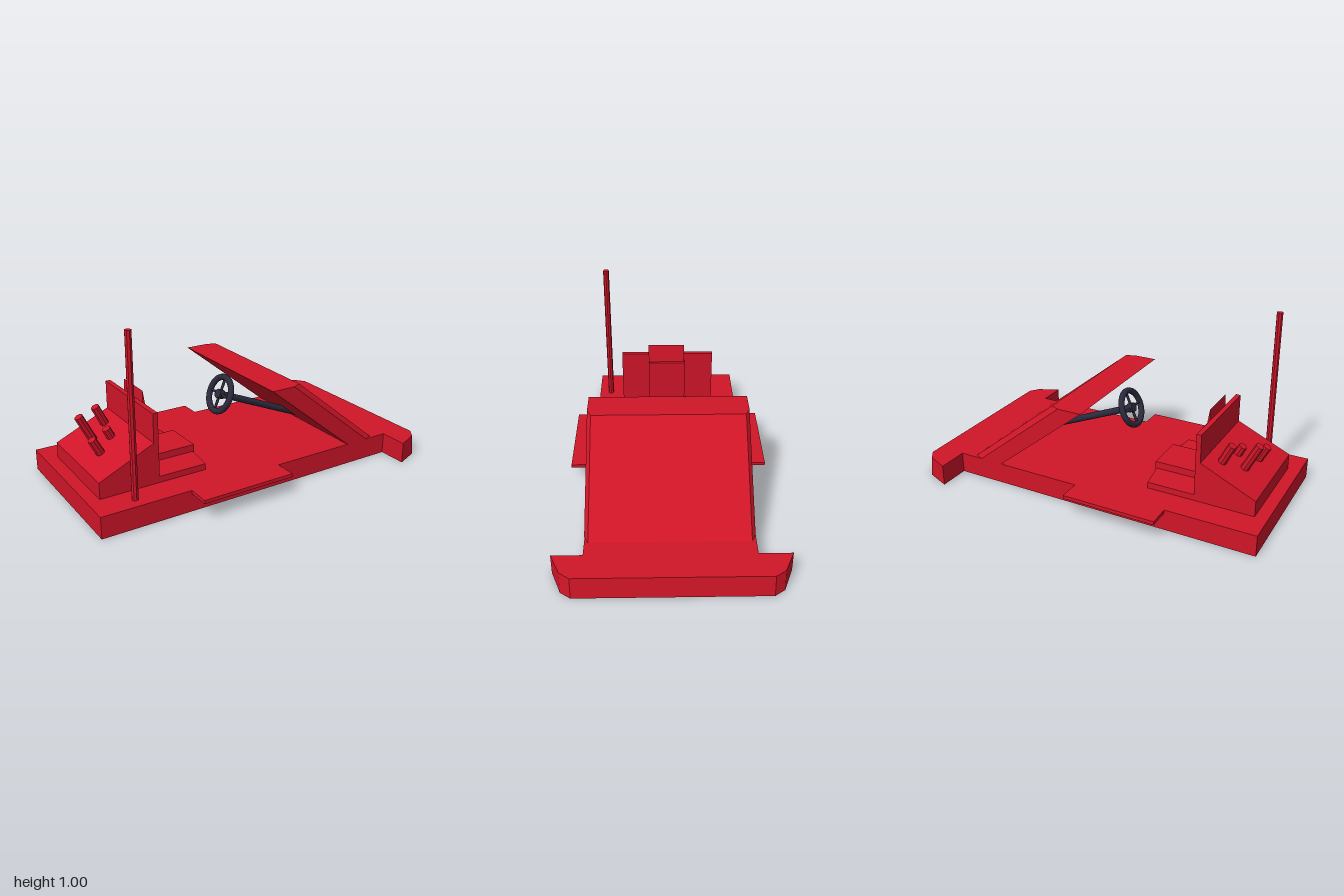
import * as THREE from 'three';

const red = new THREE.MeshStandardMaterial({ color: 0xd01528, flatShading: true });
const dark = new THREE.MeshStandardMaterial({ color: 0x2a2a3c });

const extrude = (points, depth) => new THREE.ExtrudeGeometry(
  new THREE.Shape(points.map(([a, b]) => new THREE.Vector2(a, b))),
  { depth, bevelEnabled: false });

// Prism from an [x, z] outline, standing between y0 and y1
const planPrism = (points, y0, y1) =>
  extrude(points.map(([x, z]) => [x, -z]), y1 - y0).rotateX(-Math.PI / 2).translate(0, y0, 0);

// Prism from an [x, y] outline, spanning z0 to z1
const sidePrism = (points, z0, z1) => extrude(points, z1 - z0).translate(0, 0, z0);

const box = (x0, x1, y0, y1, z0, z1) =>
  new THREE.BoxGeometry(x1 - x0, y1 - y0, z1 - z0)
    .translate((x0 + x1) / 2, (y0 + y1) / 2, (z0 + z1) / 2);

// Cylinder running from point a to point b
function rod(a, b, radius, sides) {
  const from = new THREE.Vector3(...a), to = new THREE.Vector3(...b);
  const dir = to.clone().sub(from);
  const g = new THREE.CylinderGeometry(radius, radius, dir.length(), sides);
  g.applyQuaternion(new THREE.Quaternion().setFromUnitVectors(
    new THREE.Vector3(0, 1, 0), dir.normalize()));
  const mid = from.add(to).multiplyScalar(0.5);
  return g.translate(mid.x, mid.y, mid.z);
}

// Move each vertex in x by a rule
function shiftX(geometry, rule) {
  const p = geometry.attributes.position;
  for (let i = 0; i < p.count; i++) p.setX(i, p.getX(i) + rule(p.getX(i), p.getY(i)));
  geometry.computeVertexNormals();
  return geometry;
}

export function createModel() {
  const kart = new THREE.Group();
  kart.name = 'kart';
  const add = (name, geometry, material = red, parent = kart) => {
    const mesh = new THREE.Mesh(geometry, material);
    mesh.name = name;
    parent.add(mesh);
    return mesh;
  };

  // Chassis floor, side steps and front bumper
  add('floor', box(-1, 0.83, 0, 0.12, -0.44, 0.455));
  add('leftStep', box(-0.495, 0.05, 0.1, 0.12, 0.45, 0.58));
  add('rightStep', box(-0.495, 0.045, 0.1, 0.12, -0.565, -0.435));
  const bumper = planPrism([[0.82, -0.62], [0.945, -0.565], [0.985, -0.51],
    [0.985, 0.51], [0.945, 0.565], [0.82, 0.62]], 0, 0.12);
  add('frontBumper', shiftX(bumper, (x, y) => (x > 0.9 && y < 0.06 ? 0.015 : 0)));

  // Slanted nose shield with chamfered front corners
  const shield = planPrism([[0, -0.44], [0.14, -0.44], [0.19, -0.418],
    [0.19, 0.435], [0.14, 0.458], [0, 0.458]], 0.12, 0.557);
  add('noseShield', shiftX(shield, (x, y) => (0.557 - y) / 0.437 * 0.54));

  // Engine block with a sloping top
  add('engine', sidePrism([[-0.93, 0.12], [-0.61, 0.12], [-0.61, 0.355], [-0.93, 0.21]],
    -0.28, 0.29));

  // Exhaust pipes, each from the slope to its open end: base x, base y, top x, top y, z
  const pipes = [
    [-0.68, 0.29, -0.745, 0.425, -0.155],
    [-0.78, 0.24, -0.87, 0.42, -0.083],
    [-0.71, 0.27, -0.752, 0.355, -0.002],
    [-0.80, 0.22, -0.865, 0.345, 0.07],
  ];
  for (const [bx, by, tx, ty, z] of pipes)
    add('exhaustPipe', rod([bx, by, z], [tx, ty, z], 0.024, 8));

  // Seat
  const seat = new THREE.Group();
  seat.name = 'seat';
  kart.add(seat);
  add('seatWall', box(-0.62, -0.592, 0.12, 0.512, -0.28, 0.29), red, seat);
  add('seatPan', planPrism([[-0.6, -0.28], [-0.32, -0.28], [-0.293, -0.105],
    [-0.293, 0.12], [-0.315, 0.29], [-0.6, 0.29]], 0.12, 0.155), red, seat);
  add('seatCushion', box(-0.6, -0.288, 0.15, 0.195, -0.115, 0.12), red, seat);
  add('backCushion', box(-0.595, -0.555, 0.15, 0.465, -0.105, 0.12), red, seat);
  add('headrest', sidePrism([[-0.597, 0.46], [-0.572, 0.46], [-0.59, 0.575]],
    -0.1, 0.122), red, seat);

  // Rear pole
  add('pole', rod([-0.78, 0.11, 0.382], [-0.78, 1, 0.382], 0.018, 8));

  // Steering column and wheel
  add('steeringColumn', rod([-0.06, 0.418, 0.03], [0.56, 0.155, 0.03], 0.02, 16), dark);
  const wheel = new THREE.Group();
  wheel.name = 'steeringWheel';
  add('rim', new THREE.TorusGeometry(0.1, 0.018, 10, 32), dark, wheel);
  add('hub', new THREE.CylinderGeometry(0.027, 0.027, 0.035, 16).rotateX(Math.PI / 2), dark, wheel);
  for (const angle of [0, Math.PI / 2]) {
    const spoke = new THREE.CylinderGeometry(0.008, 0.008, 0.2, 8).rotateZ(angle);
    add('spoke', spoke, dark, wheel);
  }
  wheel.position.set(-0.06, 0.418, 0.03);
  wheel.lookAt(0.56, 0.155, 0.03);
  kart.add(wheel);

  return kart;
}
